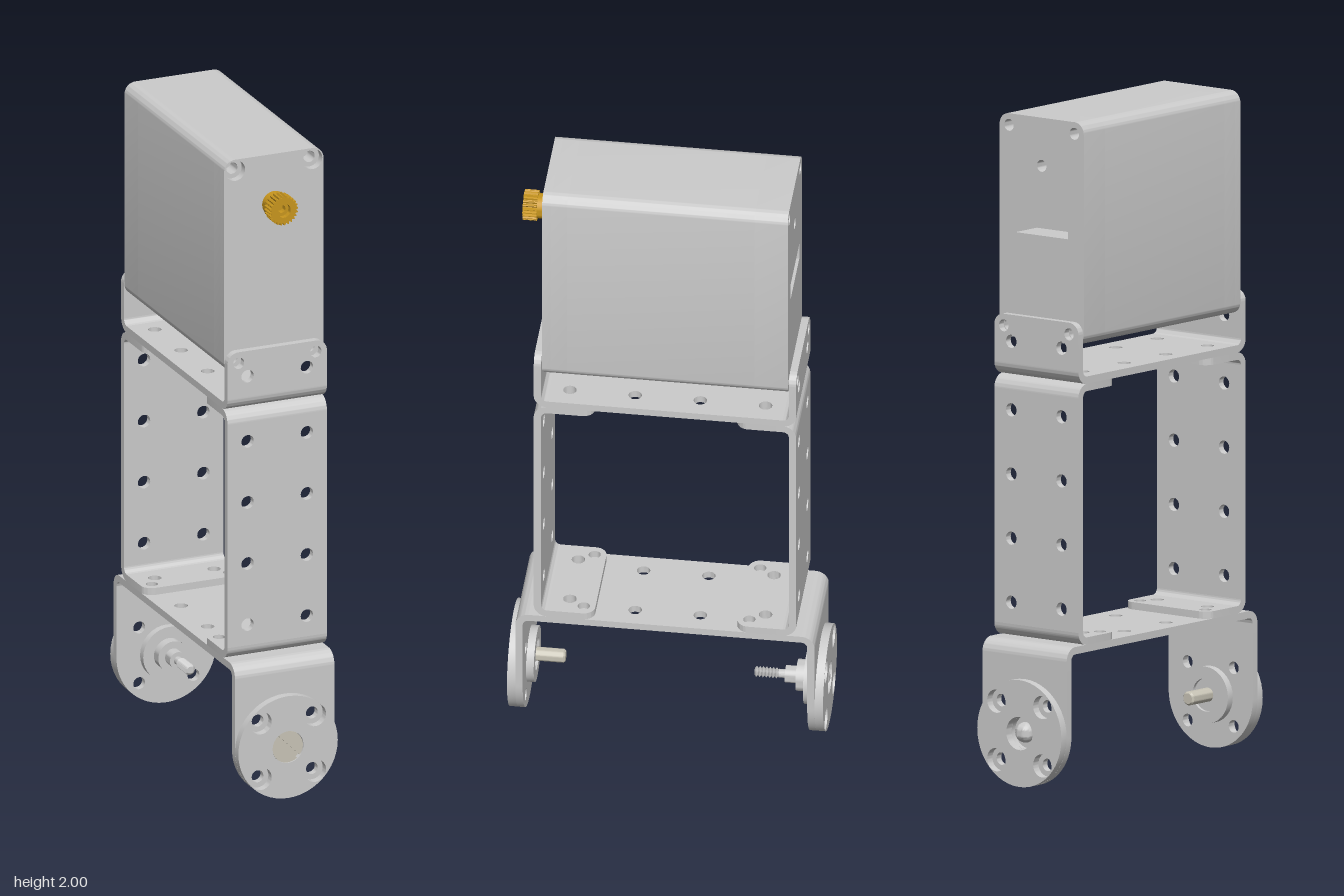
import * as THREE from 'three';
import { toCreasedNormals } from 'three/addons/utils/BufferGeometryUtils.js';

const W = 0.322, T = 0.022, BEND = 0.04;   // sheet width, thickness, outer bend radius
const HALF = 0.3925, LOW_HALF = 0.4475;    // outer half depths of the brackets
const AXLE_Y = W / 2, BOLT = 0.088;
const grey = new THREE.MeshStandardMaterial({ color: 0xcccccc });
const gold = new THREE.MeshStandardMaterial({ color: 0xc8961e });
const steel = new THREE.MeshStandardMaterial({ color: 0xc8c4b6 });

function add(parent, name, geo, mat = grey) {
  const mesh = new THREE.Mesh(toCreasedNormals(geo, 0.6), mat);
  mesh.name = name;
  parent.add(mesh);
  return mesh;
}

function punch(shape, holes) {
  for (const [x, y, r] of holes) shape.holes.push(new THREE.Path().absarc(x, y, r, 0, Math.PI * 2, true));
  return shape;
}

function extrude(shape, depth, z = 0, curveSegments = 12) {
  return new THREE.ExtrudeGeometry(shape, { depth, bevelEnabled: false, curveSegments }).translate(0, 0, z);
}

// Rectangle centred on x from y0 to y1, with bottom and top corner radii
function panel(y0, y1, r0, r1) {
  const h = W / 2, s = new THREE.Shape();
  s.moveTo(-h + r0, y0).lineTo(h - r0, y0);
  if (r0) s.absarc(h - r0, y0 + r0, r0, -Math.PI / 2, 0);
  s.lineTo(h, y1 - r1);
  if (r1) s.absarc(h - r1, y1 - r1, r1, 0, Math.PI / 2);
  s.lineTo(-h + r1, y1);
  if (r1) s.absarc(-h + r1, y1 - r1, r1, Math.PI / 2, Math.PI);
  s.lineTo(-h, y0 + r0);
  if (r0) s.absarc(-h + r0, y0 + r0, r0, Math.PI, Math.PI * 1.5);
  return s;
}

// Punched flat sheet running from (y, z) in a direction turned about x
function sheet(parent, name, length, radius, holes, y, z, angle) {
  const mesh = add(parent, name, extrude(punch(panel(0, length, 0, radius), holes), T));
  mesh.rotation.x = angle;
  mesh.position.set(0, y, z);
}

// Quarter bend across the width, centred on (y, z)
function bend(parent, name, y, z, start) {
  const s = new THREE.Shape();
  s.absarc(0, 0, BEND, start, start + Math.PI / 2);
  s.absarc(0, 0, BEND - T, start + Math.PI / 2, start, true);
  add(parent, name, extrude(s, W).rotateY(-Math.PI / 2).translate(W / 2, y, z));
}

// Turned part along z; profile points are [radius, z] with z rising along the outside
function turned(parent, name, pts, mat, segments = 32) {
  const geo = new THREE.LatheGeometry(pts.map(p => new THREE.Vector2(...p)), segments);
  return add(parent, name, geo.rotateX(Math.PI / 2), mat);
}

const pair = (x, y, r = 0.02) => [[-x, y, r], [x, y, r]];
const square = (y, r) => [...pair(BOLT, y - BOLT, r), ...pair(BOLT, y + BOLT, r)];

function buildBody() {
  const g = new THREE.Group();
  g.name = 'servoBody';
  const box = () => panel(1.33, 2, 0.035, 0.035);
  const corners = r => [...pair(0.125, 1.965, r), ...pair(0.125, 1.365, r)];
  add(g, 'case', extrude(box(), 0.56, -0.2675));
  add(g, 'frontCover', extrude(punch(box(), corners(0.018)), 0.05, 0.2925));
  add(g, 'frontFace', extrude(punch(box(), corners(0.032)), 0.025, 0.3425));

  // Back cover with screw holes, indicator hole and cable slot
  const back = punch(box(), [...corners(0.018), [0, 1.855, 0.018]]);
  const slot = new THREE.Path();
  slot.moveTo(-0.1, 1.645).lineTo(-0.1, 1.7).lineTo(0.1, 1.7).lineTo(0.1, 1.645).closePath();
  back.holes.push(slot);
  add(g, 'backCover', extrude(back, 0.1, -0.3675));

  // Splined output shaft
  const spline = new THREE.Group();
  spline.name = 'outputSpline';
  spline.position.set(0, 1.845, 0);
  turned(spline, 'splineCollar', [[0.038, 0.36], [0.038, 0.41]], gold);
  const teeth = new THREE.Shape(), N = 24;
  for (let i = 0; i < N * 4; i++) {
    const a = (i + 0.5) / (N * 4) * Math.PI * 2, r = i % 4 < 2 ? 0.046 : 0.04;
    teeth[i ? 'lineTo' : 'moveTo'](r * Math.cos(a), r * Math.sin(a));
  }
  teeth.closePath();
  add(spline, 'splineTeeth', extrude(punch(teeth, [[0, 0, 0.022]]), 0.042, 0.4), gold);
  turned(spline, 'splineSocket', [[0.022, 0.425], [0.012, 0.425], [0.012, 0.405], [0, 0.405]], gold);
  g.add(spline);
  return g;
}

// Walls, flanges, bends and wheel disc of one end
function buildEnd(name) {
  const g = new THREE.Group(), Q = Math.PI / 2, c = HALF - BEND;
  g.name = name;
  bend(g, 'cradleBend', 1.215 + BEND, c, -Q);
  sheet(g, 'cradleWall', 0.145, 0.035, [...pair(0.125, 0.11, 0.018), ...pair(0.096, 0.065)], 1.255, HALF - T, 0);

  const column = [0.535, 0.728, 0.921, 1.114].flatMap(y => pair(0.096, y - 0.47));
  sheet(g, 'columnWall', 0.705, 0, column, 0.47, HALF - T, 0);
  bend(g, 'columnTopBend', 1.175, c, 0);
  bend(g, 'columnBottomBend', 0.47, c, -Q);
  const flange = [...pair(0.125, 0.105, 0.018), ...pair(0.096, 0.06)];
  sheet(g, 'columnTopFlange', 0.14, 0.035, flange, 1.215 - T, c, -Q);
  sheet(g, 'columnBottomFlange', 0.14, 0.035, flange, 0.43, c, -Q);

  bend(g, 'legBend', 0.39, LOW_HALF - BEND, 0);
  const u = 0.39 - AXLE_Y;
  sheet(g, 'leg', 0.39, W / 2 - 0.0005, [...square(u, 0.019), [0, u, 0.05]], 0.39, LOW_HALF, Math.PI);

  const disc = new THREE.Shape().absarc(0, 0, W / 2, 0, Math.PI * 2);
  punch(disc, [...square(0, 0.035), [0, 0, 0.05]]);
  const hub = new THREE.Group();
  hub.name = 'hornHub';
  hub.position.y = AXLE_Y;
  add(hub, 'hornDisc', extrude(disc, 0.025, LOW_HALF, 24));
  turned(hub, 'hornBoss', [[0, 0.412], [0.05, 0.412], [0.05, 0.4025], [0.085, 0.4025], [0.085, 0.4255],
    [0.05, 0.4255], [0.05, 0.43], [0, 0.43]]);
  g.add(hub);
  return { g, hub };
}

export function createModel() {
  const root = new THREE.Group();
  root.name = 'servoLeg';
  const model = new THREE.Group();
  model.name = 'legAssembly';
  model.position.z = 0.0175;
  root.add(model);
  model.add(buildBody());

  // Horizontal plates of the cradle and the foot bracket
  const plate = (name, half, y) => sheet(model, name, half * 2, 0,
    [-0.2925, -0.0975, 0.0975, 0.2925].flatMap(z => pair(0.096, half + z)), y, half, -Math.PI / 2);
  plate('cradlePlate', HALF - BEND, 1.215);
  plate('footPlate', LOW_HALF - BEND, 0.43 - T);

  const front = buildEnd('frontEnd'), back = buildEnd('backEnd');
  back.g.rotation.y = Math.PI;
  model.add(front.g, back.g);

  // Slotted axle screw at the front
  turned(front.hub, 'axleShaft', [[0, 0.3175], [0.016, 0.3175], [0.021, 0.323], [0.021, 0.415]], steel);
  turned(front.hub, 'axleHead', [[0.049, 0.43], [0.049, 0.458], [0, 0.458]], steel);
  for (const turn of [0.25, 1.25]) {
    const lip = Math.asin(0.006 / 0.049), half = new THREE.Shape();
    half.absarc(0, 0, 0.049, lip, Math.PI - lip);
    const m = add(front.hub, 'axleHeadHalf', extrude(half, 0.012, 0.458), steel);
    m.rotation.z = -turn * Math.PI;
  }

  // Domed, threaded axle screw at the back
  const dome = [[0.026, 0.43], [0.03, 0.442]];
  for (let i = 0; i <= 8; i++) {
    const a = i / 8 * Math.PI / 2;
    dome.push([0.031 * Math.cos(a), 0.4425 + 0.0315 * Math.sin(a)]);
  }
  const domeMesh = turned(back.hub, 'axleDome', dome);
  domeMesh.position.z = 0.0;
  turned(back.hub, 'axleCollar', [[0, 0.34], [0.026, 0.34], [0.026, 0.375], [0.048, 0.375], [0.048, 0.415]]);
  const thread = [[0, 0.248], [0.011, 0.248]];
  for (let i = 0; i < 7; i++) thread.push([0.017, 0.253 + i * 0.01], [0.011, 0.258 + i * 0.01]);
  thread.push([0.013, 0.32], [0.013, 0.345]);
  turned(back.hub, 'axleThread', thread, grey, 20);
  return root;
}
